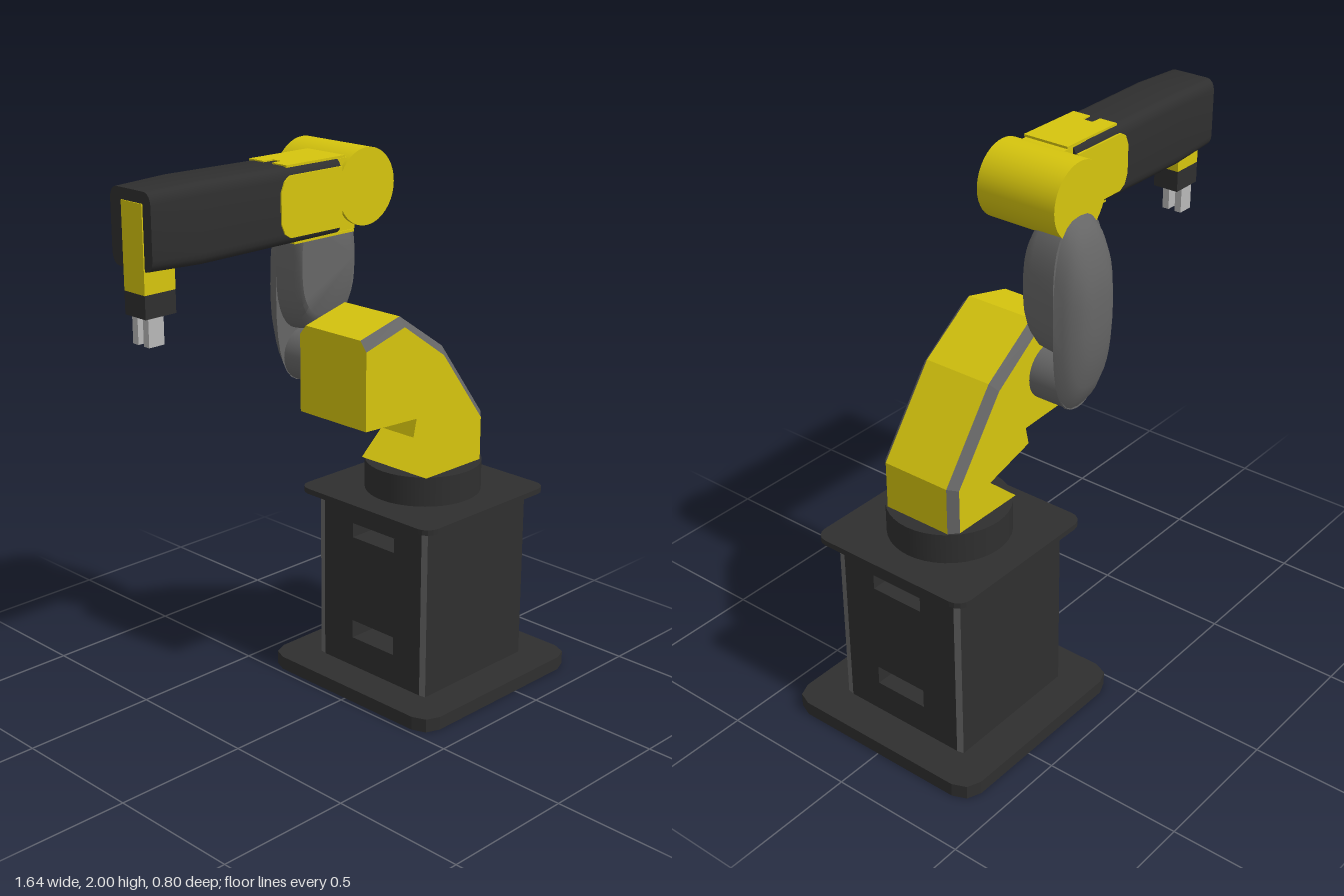
import * as THREE from 'three';
import { toCreasedNormals } from 'three/addons/utils/BufferGeometryUtils.js';

const mat = (name, color) => Object.assign(new THREE.MeshStandardMaterial({ color }), { name });
const V = (x, y, z) => new THREE.Vector3(x, y, z);

// Straight prism of a 2D outline, running along +z from z0
function prism(points, z0, z1, holes = []) {
  const shape = new THREE.Shape(points.map(p => new THREE.Vector2(...p)));
  holes.forEach(h => shape.holes.push(new THREE.Path(h.map(p => new THREE.Vector2(...p)))));
  return new THREE.ExtrudeGeometry(shape, { depth: z1 - z0, bevelEnabled: false }).translate(0, 0, z0);
}
// Same prism stood upright: the outline is (x, -z) and it rises from y0 to y1
const upright = (points, y0, y1) => prism(points, y0, y1).rotateX(-Math.PI / 2);

const rect = (x0, x1, y0, y1) => [[x0, y0], [x1, y0], [x1, y1], [x0, y1]];

// Rectangle with rounded corners, counter-clockwise
function roundRect(hx, hy, rx, ry, seg) {
  const pts = [];
  [[1, 1], [-1, 1], [-1, -1], [1, -1]].forEach(([sx, sy], q) => {
    for (let i = 0; i <= seg; i++) {
      const a = (q + i / seg) * Math.PI / 2;
      pts.push([sx * (hx - rx) + rx * Math.cos(a), sy * (hy - ry) + ry * Math.sin(a)]);
    }
  });
  return pts;
}

function fromTriangles(tris) {
  const g = new THREE.BufferGeometry().setFromPoints(tris);
  g.computeVertexNormals();
  return g;
}

// Skin over matching counter-clockwise rings, closed at both ends
function loft(rings, crease) {
  const t = [], n = rings[0].length;
  for (let k = 0; k < rings.length - 1; k++) {
    const a = rings[k], b = rings[k + 1];
    for (let i = 0; i < n; i++) {
      const j = (i + 1) % n;
      t.push(a[i], a[j], b[j], a[i], b[j], b[i]);
    }
  }
  const first = rings[0], last = rings[rings.length - 1];
  for (let i = 1; i < n - 1; i++) {
    t.push(first[0], first[i + 1], first[i], last[0], last[i], last[i + 1]);
  }
  return toCreasedNormals(fromTriangles(t), crease);
}

export function createModel() {
  const yellow = mat('yellow paint', 0xd6c50e);
  const dark = mat('dark casing', 0x2f2f2f);
  const grey = mat('grey metal', 0x666666);
  const light = mat('light metal', 0xb8b8b8);
  const model = new THREE.Group();
  model.name = 'robotArm';
  const add = (name, geo, material, x = 0, y = 0, z = 0) => {
    const m = new THREE.Mesh(geo, material);
    m.name = name;
    m.position.set(x, y, z);
    model.add(m);
    return m;
  };
  const box = (name, material, x0, x1, y0, y1, z0, z1) =>
    add(name, new THREE.BoxGeometry(x1 - x0, y1 - y0, z1 - z0), material, (x0 + x1) / 2, (y0 + y1) / 2, (z0 + z1) / 2);

  // Pedestal: floor plate, column with two slots through it, top plate, turntable
  const cx = 0.42;
  add('floorPlate', upright(roundRect(0.4, 0.4, 0.07, 0.07, 2), 0, 0.05), dark, cx);
  const slots = [rect(-0.11, 0.095, 0.165, 0.235), rect(-0.11, 0.095, 0.565, 0.62)];
  add('column', prism(rect(-0.24, 0.24, 0.05, 0.7), -0.265, 0.265, slots).rotateY(Math.PI / 2), dark, cx);
  for (const s of [1, -1]) {
    box('columnSide', dark, cx - 0.26, cx + 0.26, 0.05, 0.7, s > 0 ? 0.24 : -0.265, s > 0 ? 0.265 : -0.24);
    for (const t of [1, -1]) {
      const tri = [[t * 0.265, s * 0.24], [t * 0.26, s * 0.265], [t * 0.26, s * 0.24]];
      add('columnCornerStrip', upright(tri, 0.05, 0.7), grey, cx);
    }
  }
  add('topPlate', upright(roundRect(0.32, 0.32, 0.05, 0.05, 4), 0.7, 0.72), dark, cx);
  add('turntable', new THREE.CylinderGeometry(0.212, 0.212, 0.11, 40), dark, cx, 0.775);

  // Shoulder: bent body with grey chamfers along its upper edges
  const under = [[-0.04, 1.077], [0.21, 1.065], [0.195, 1.0], [0.395, 0.945]];
  const P = [[0.264, 0.83], [0.58, 0.83], [0.58, 1.0], [0.364, 1.29], [0.148, 1.437], [-0.04, 1.39], ...under];
  const Q = [[0.264, 0.83], [0.55, 0.83], [0.55, 0.99], [0.345, 1.265], [0.145, 1.405], [-0.04, 1.355], ...under];
  add('shoulderCore', prism(P, -0.13, 0.13), yellow);
  add('shoulderSides', prism(Q, -0.158, 0.158), yellow);
  const chamfer = (i, s) => {
    const [a, b, c, d] = [[P[i], 0.13], [P[i + 1], 0.13], [Q[i + 1], 0.158], [Q[i], 0.158]]
      .map(([p, z]) => V(p[0], p[1], s * z));
    return s > 0 ? [a, b, c, a, c, d] : [c, b, a, d, c, a];
  };
  for (const s of [1, -1]) {
    add('shoulderChamfer', fromTriangles([1, 2, 3, 4].flatMap(i => chamfer(i, s))), grey);
    add('shoulderEndCorner', fromTriangles(chamfer(5, s)), yellow);
  }

  // Upper link: rounded shell behind the shoulder, rows are [z, bottom, top, half width]
  const rows = [
    [-0.367, 1.45, 1.58, 0.045], [-0.36, 1.36, 1.65, 0.075], [-0.335, 1.24, 1.74, 0.108],
    [-0.31, 1.18, 1.79, 0.122], [-0.28, 1.14, 1.82, 0.132], [-0.279, 1.33, 1.82, 0.132],
    [-0.19, 1.345, 1.81, 0.132], [-0.165, 1.375, 1.79, 0.13], [-0.155, 1.4, 1.77, 0.125]
  ];
  const power = (v, e) => Math.sign(v) * Math.abs(v) ** e;
  const rings = rows.map(([z, y0, y1, w]) => Array.from({ length: 32 }, (_, i) => {
    const a = i / 32 * Math.PI * 2;
    return V(0.095 + w * power(Math.cos(a), 0.75), (y0 + y1) / 2 + (y1 - y0) / 2 * power(Math.sin(a), 0.75), z);
  }));
  add('upperLink', loft(rings, 0.6), grey);
  const drum = (name, r, z0, z1, y, material) =>
    add(name, new THREE.CylinderGeometry(r, r, z1 - z0, 40).rotateX(Math.PI / 2), material, 0.095, y, (z0 + z1) / 2);
  drum('linkPivot', 0.097, -0.285, -0.15, 1.237, grey);
  drum('elbowDrum', 0.13, -0.28, 0.024, 1.87, yellow);

  // Forearm: dark tube, slightly fuller in the middle
  const fy = 1.855, fz = -0.07;
  const tube = [[-0.816, 0.122, 0.096], [-0.62, 0.129, 0.103], [-0.3, 0.126, 0.102], [-0.03, 0.124, 0.1]]
    .map(([x, hy, hz]) => roundRect(hz, hy, 0.03, 0.04, 4).map(p => V(p[0], p[1], x)));
  add('forearmTube', loft(tube, 0.6).rotateY(Math.PI / 2), dark, 0, fy, fz);
  box('elbowBlock', yellow, -0.1, 0.05, 1.735, 1.975, -0.155, 0.012);

  // Yellow cover panels on the four sides of the forearm
  const panel = [[-0.03, -0.1], [-0.03, 0.1], [-0.26, 0.1], [-0.285, 0.085], [-0.3, 0.05], [-0.3, -0.05], [-0.285, -0.085], [-0.26, -0.1]];
  for (const z of [0.1, -0.107]) add('forearmSidePanel', prism(panel.slice().reverse(), z, z + 0.007), yellow, 0, fy, fz);
  const topPanel = [[0, -0.087], [0, 0.087], [-0.26, 0.087], [-0.26, 0.02], [-0.22, 0.02], [-0.22, -0.02], [-0.26, -0.02], [-0.26, -0.087]];
  add('forearmTopPanel', upright(topPanel, 1.977, 1.985), yellow, 0, 0, fz);
  box('forearmBottomPanel', yellow, -0.22, 0.05, 1.724, 1.733, fz - 0.08, fz + 0.08);
  box('forearmEndPanel', yellow, -0.82, -0.814, 1.735, 1.94, -0.11, -0.012);

  // Wrist and two-finger gripper
  box('wrist', yellow, -0.82, -0.7, 1.66, 1.74, -0.11, -0.012);
  box('gripperBase', dark, -0.82, -0.7, 1.585, 1.66, -0.11, -0.012);
  for (const z of [-0.038, -0.09]) box('gripperFinger', light, -0.8, -0.74, 1.49, 1.585, z - 0.013, z + 0.013);

  return model;
}
